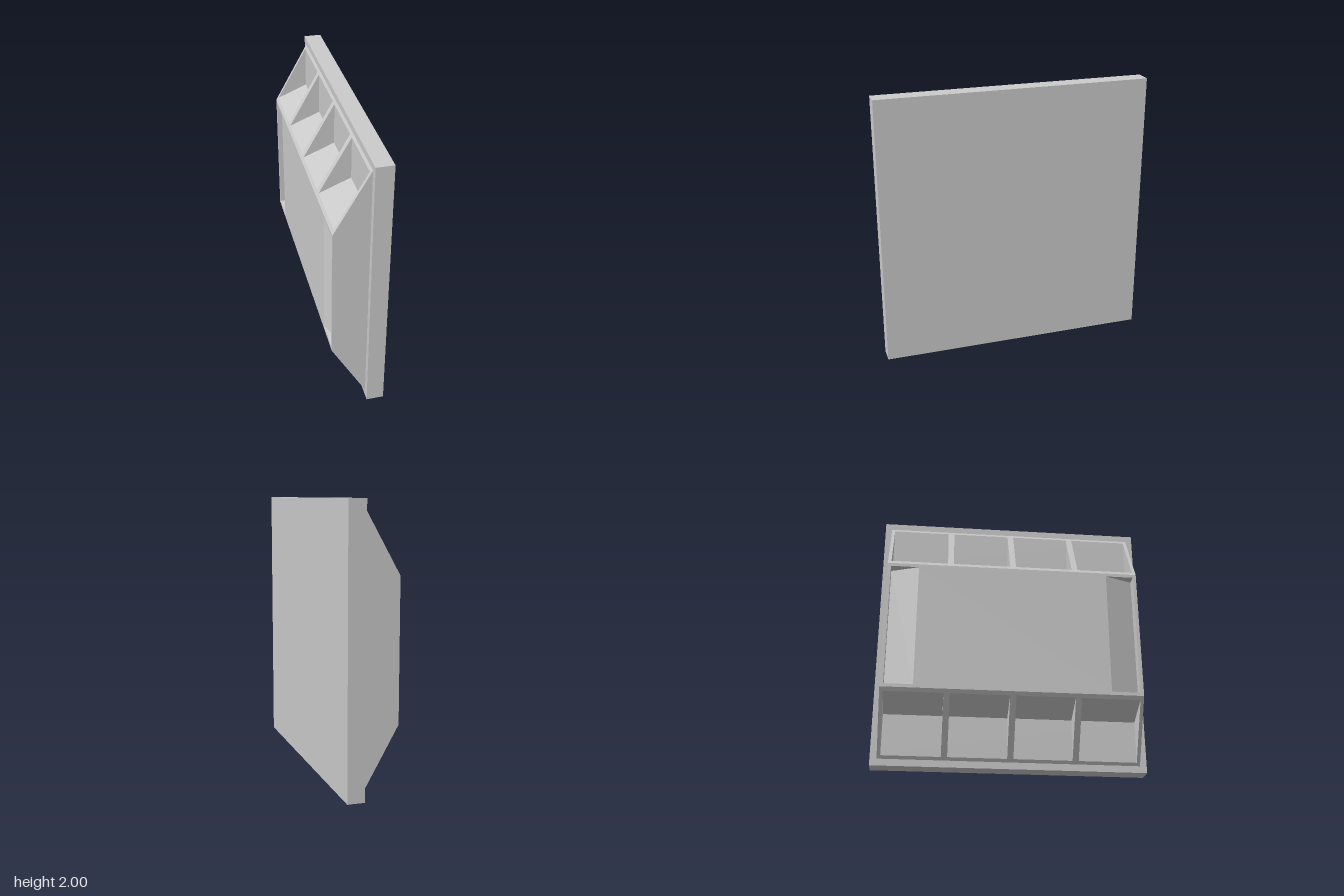
import * as THREE from 'three';

const FRONT = -0.19;   // outer face of the housing
const BASE = 0.0625;   // where the housing meets the slab
const INNER = 0.05;    // back wall of the pockets

export function createModel() {
  const group = new THREE.Group();
  const material = new THREE.MeshStandardMaterial({ color: 0xcccccc, flatShading: true });

  function add(name, geometry) {
    const mesh = new THREE.Mesh(geometry, material);
    mesh.name = name;
    group.add(mesh);
    return mesh;
  }
  const extrude = (points, depth) => new THREE.ExtrudeGeometry(
    new THREE.Shape(points.map(([x, y]) => new THREE.Vector2(x, y))),
    { depth, bevelEnabled: false });
  // Side profile (x, y) extruded along z, centred on z
  const addSection = (name, points, width, z = 0) =>
    add(name, extrude(points, width).translate(0, 0, z - width / 2));

  // Flat square slab
  add('slab', new THREE.BoxGeometry(0.125, 2, 2)).position.set(0.125, 1, 0);

  // Trapezoid end walls
  const trapezoid = [[BASE, 0.05], [BASE, 1.95], [FRONT, 1.5], [FRONT, 0.5]];
  for (const side of [-1, 1]) addSection('endWall', trapezoid, 0.025, side * 0.9375);

  // Central block whose face slopes inward towards both end walls
  const block = [[BASE, -0.925], [BASE, 0.925], [-0.11, 0.925], [FRONT, 0.715],
    [FRONT, -0.715], [-0.11, -0.925]];
  add('centralBlock', extrude(block, 0.95).rotateX(-Math.PI / 2).translate(0, 0.525, 0));

  // Upper and lower rows of open pockets, mirrored about mid height
  for (const lower of [false, true]) {
    const place = (points) => points.map(([x, y]) => [x, lower ? 2 - y : y]);
    addSection('pocketFloor', place([[BASE, 1.475], [FRONT, 1.475], [FRONT, 1.5],
      [-0.175, 1.527], [INNER, 1.62], [BASE, 1.62]]), 1.85);
    addSection('pocketBack', place([[BASE, 1.62], [INNER, 1.62], [INNER, 1.928],
      [BASE, 1.95]]), 1.85);
    for (const z of [-0.475, 0, 0.475]) {
      addSection('pocketRib', place([[BASE, 1.5], [FRONT, 1.5], [BASE, 1.95]]), 0.045, z);
    }
  }
  return group;
}
